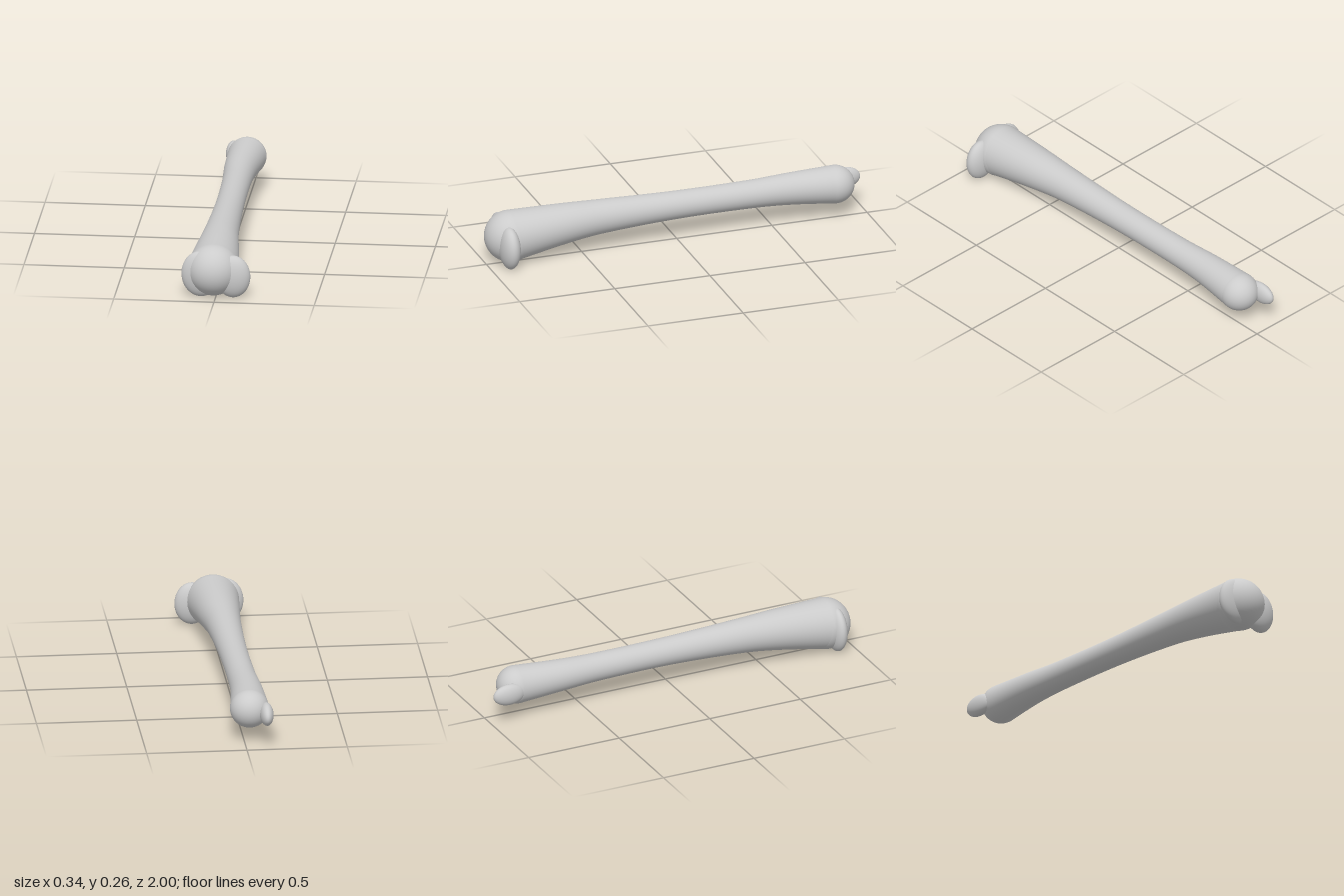
import * as THREE from 'three';

const material = new THREE.MeshStandardMaterial({ color: 0xcccccc });

// Shaft sections from back to front: z, centre x, centre y, half width, half height
const SECTIONS = [
  [-0.84, -0.028, 0.167, 0.097, 0.096],
  [-0.6, -0.038, 0.171, 0.080, 0.080],
  [-0.4, -0.035, 0.172, 0.071, 0.071],
  [0, -0.029, 0.172, 0.071, 0.071],
  [0.4, -0.025, 0.167, 0.086, 0.087],
  [0.6, -0.021, 0.157, 0.104, 0.103],
  [0.87, -0.017, 0.133, 0.130, 0.130],
];

function sampleSections(z) {
  let i = 0;
  while (i < SECTIONS.length - 2 && z > SECTIONS[i + 1][0]) i++;
  const a = SECTIONS[i], b = SECTIONS[i + 1];
  const before = SECTIONS[Math.max(i - 1, 0)];
  const after = SECTIONS[Math.min(i + 2, SECTIONS.length - 1)];
  const h = b[0] - a[0], t = (z - a[0]) / h;
  // Cubic blend between neighbouring sections
  return a.map((v, k) => {
    const m0 = (b[k] - before[k]) / (b[0] - before[0]) * h;
    const m1 = (after[k] - v) / (after[0] - a[0]) * h;
    const t2 = t * t, t3 = t2 * t;
    return (2 * t3 - 3 * t2 + 1) * v + (t3 - 2 * t2 + t) * m0
      + (3 * t2 - 2 * t3) * b[k] + (t3 - t2) * m1;
  });
}

// Open tapered tube, closed by the rounded heads at both ends
function shaftGeometry() {
  const geometry = new THREE.CylinderGeometry(1, 1, 1, 64, 48, true);
  geometry.rotateX(Math.PI / 2);
  const p = geometry.attributes.position;
  for (let i = 0; i < p.count; i++) {
    const z = THREE.MathUtils.lerp(-0.84, 0.87, p.getZ(i) + 0.5);
    const [, cx, cy, rx, ry] = sampleSections(z);
    p.setXYZ(i, cx + p.getX(i) * rx, cy + p.getY(i) * ry, z);
  }
  // Normals follow the taper; the seam shares one value
  geometry.computeVertexNormals();
  const n = geometry.attributes.normal;
  for (let row = 0; row <= 48; row++) {
    const a = row * 65, b = a + 64;
    const v = new THREE.Vector3().fromBufferAttribute(n, a)
      .add(new THREE.Vector3().fromBufferAttribute(n, b)).normalize();
    n.setXYZ(a, v.x, v.y, v.z);
    n.setXYZ(b, v.x, v.y, v.z);
  }
  return geometry;
}

export function createModel() {
  const group = new THREE.Group();
  group.name = 'legBone';

  const add = (name, geometry) => {
    const mesh = new THREE.Mesh(geometry, material);
    mesh.name = name;
    group.add(mesh);
    return mesh;
  };
  const ellipsoid = (name, centre, radii) => {
    const mesh = add(name, new THREE.SphereGeometry(1, 48, 32));
    mesh.position.set(...centre);
    mesh.scale.set(...radii);
    return mesh;
  };

  add('shaft', shaftGeometry());

  // Wide joint with a flattened lobe on each side
  ellipsoid('frontHead', [-0.017, 0.133, 0.87], [0.13, 0.13, 0.13]);
  ellipsoid('leftLobe', [0.085, 0.111, 0.907], [0.087, 0.108, 0.05]);
  ellipsoid('rightLobe', [-0.075, 0.12, 0.905], [0.097, 0.117, 0.046]);

  // Narrow joint with a small pointed projection
  ellipsoid('backHead', [-0.028, 0.167, -0.84], [0.097, 0.096, 0.099]);
  ellipsoid('backTip', [-0.106, 0.16, -0.915], [0.034, 0.055, 0.085]);

  return group;
}
